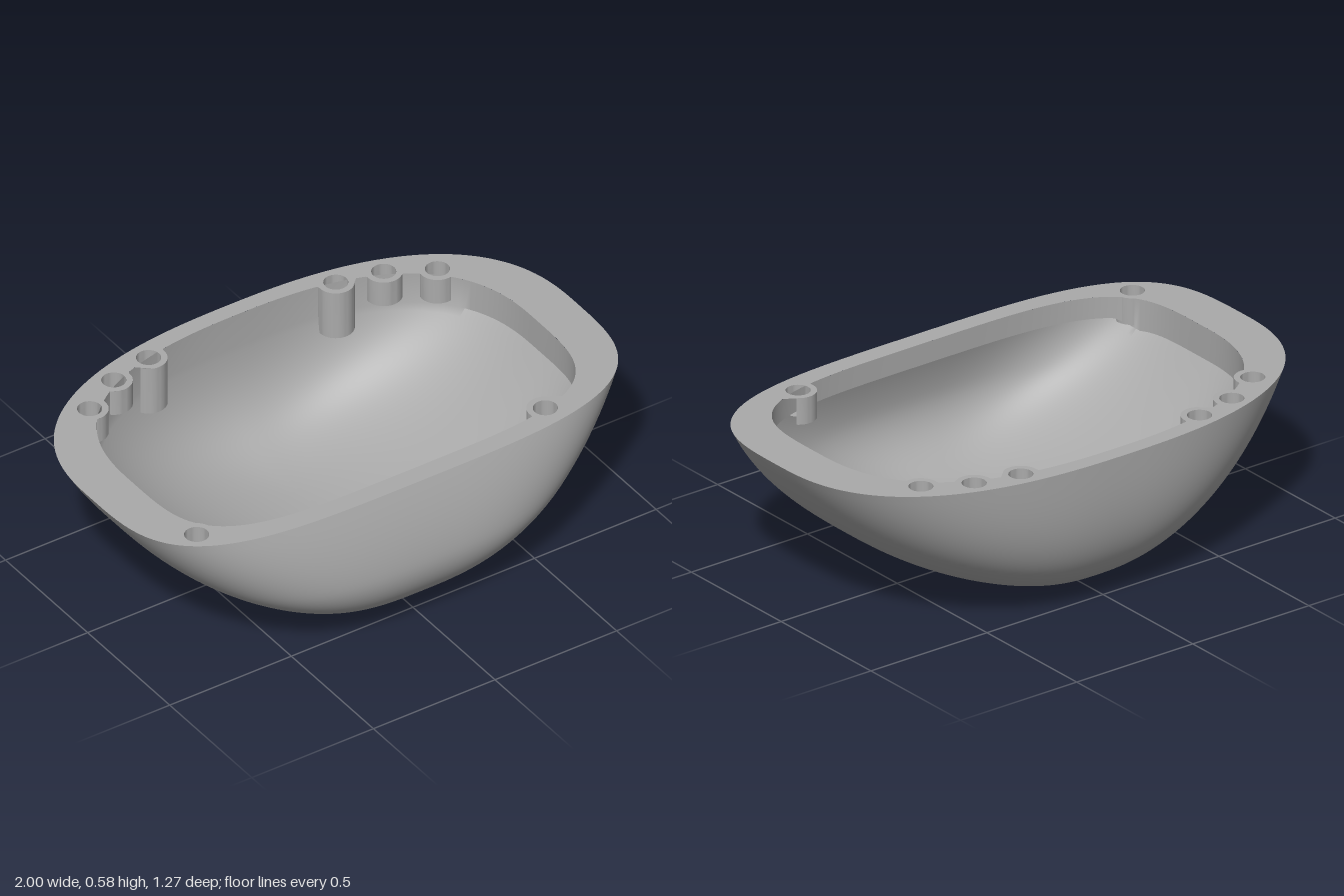
import * as THREE from 'three';
import { toCreasedNormals } from 'three/addons/utils/BufferGeometryUtils.js';

const H = 0.58;          // rim height
const SEG = 160;         // points around the shell
const BOSS_R = 0.065, HOLE_R = 0.043;
const spow = (v, e) => Math.sign(v) * Math.pow(Math.abs(v), e);

// Side profile of the shell: depth to the back and to the front at height y
const backDepth = (y) => 0.637 * Math.pow(Math.max(0, 1 - Math.pow(1 - y / H, 3)), 0.25);
function frontDepth(y) {
  const m = 0.28;
  if (y > m) return 0.638 - 0.075 * Math.pow((y - m) / (H - m), 1.6);
  return 0.638 * Math.pow(Math.max(0, 1 - Math.pow(1 - y / m, 2)), 1 / 3.6);
}
const arcWidth = (y, r) => Math.sqrt(Math.max(0, r * r - (1.15 - y) ** 2));
const frontPower = (y) => 3 + 0.6 * (y / H) ** 2;

// Horizontal slices: half width, depths and superellipse powers
const outerSlice = (y) => ({ X: arcWidth(y, 1.15), B: backDepth(y), F: frontDepth(y), nb: 2.5, nf: frontPower(y) });
const FLOOR = 0.07;
function innerSlice(y) {
  const Y = Math.max(0, (y - FLOOR) * H / (H - FLOOR));
  return { X: arcWidth(y, 1.15 - FLOOR), B: 0.907 * backDepth(Y), F: 0.9 * frontDepth(Y), nb: 2.5, nf: frontPower(y) };
}
const opening = { X: 0.83, B: 0.575, F: 0.49, nb: 2.5, nf: 4 };

function slicePoint(s, a, y) {
  const front = Math.sin(a) > 0, n = front ? s.nf : s.nb;
  return new THREE.Vector3(
    s.X * spow(Math.cos(a), 2 / n), y, (front ? s.F : s.B) * spow(Math.sin(a), 2 / n));
}
// Normalised position of a point in a slice: below 1 is inside
function sliceValue(s, p) {
  const front = p.z > 0, n = front ? s.nf : s.nb;
  return Math.pow(Math.abs(p.x) / (s.X + 1e-9), n) + Math.pow(Math.abs(p.z) / ((front ? s.F : s.B) + 1e-9), n);
}
function sliceAngle(s, p) {
  const front = p.z > 0, n = front ? s.nf : s.nb;
  return Math.atan2(spow(p.z / (front ? s.F : s.B), n / 2), spow(p.x / s.X, n / 2));
}

// Skin closed rows of points; rows going up face outward, going down face inward
function skin(rows) {
  const pos = [], idx = [], n = rows[0].length;
  rows.forEach((row) => row.forEach((p) => pos.push(p.x, p.y, p.z)));
  for (let i = 0; i < rows.length - 1; i++) {
    for (let j = 0; j < n; j++) {
      const a = i * n + j, b = i * n + (j + 1) % n;
      idx.push(a, a + n, b, b, a + n, b + n);
    }
  }
  const g = new THREE.BufferGeometry();
  g.setAttribute('position', new THREE.Float32BufferAttribute(pos, 3));
  g.setIndex(idx);
  return toCreasedNormals(g, 0.6);
}
const angles = Array.from({ length: SEG }, (_, i) => (i / SEG) * Math.PI * 2);

// Screw bosses: x, z, height
const bosses = [[-0.815, 0.39, 0.1], [0.575, 0.455, 0.1]];
for (const s of [-1, 1]) {
  bosses.push([s * 0.715, -0.41, 0.1], [s * 0.555, -0.5, 0.1], [s * 0.385, -0.54, 0.19]);
}

function outerShell() {
  const rows = [];
  for (let i = 0; i <= 44; i++) {
    const y = H * Math.pow(i / 44, 2.4);
    rows.push(angles.map((a) => slicePoint(outerSlice(y), a, y)));
  }
  return skin(rows);
}

// Opening wall, undercut lip at the front, and the bowl below
function innerShell() {
  const columns = angles.map((a) => {
    const top = slicePoint(opening, a, H);
    let lo = FLOOR, hi = H;
    for (let k = 0; k < 30; k++) {
      const mid = (lo + hi) / 2;
      if (sliceValue(innerSlice(mid), top) < 1) hi = mid; else lo = mid;
    }
    const lip = 0.38 + 0.12 * Math.min(1, Math.max(0, Math.sin(a) * 1.6));
    const yb = Math.max(hi, lip);
    const col = [top, new THREE.Vector3(top.x, yb, top.z)];
    const b = sliceAngle(innerSlice(yb), top);
    for (let i = 32; i >= 0; i--) {
      const y = FLOOR + (yb - FLOOR) * Math.pow(i / 32, 2.2);
      col.push(slicePoint(innerSlice(y), b, y));
    }
    return col;
  });
  return skin(columns[0].map((_, i) => columns.map((c) => c[i])));
}

// Flat rim with the opening, bumps for the bosses, and screw holes
function rimPlate() {
  const shape = new THREE.Shape(angles.map((a) => {
    const p = slicePoint(outerSlice(H), a, H);
    return new THREE.Vector2(p.x, -p.z);
  }));
  const inner = [];
  for (let i = 0; i < 640; i++) {
    const p = slicePoint(opening, (i / 640) * Math.PI * 2, H);
    const len = Math.hypot(p.x, p.z), dx = p.x / len, dz = p.z / len;
    let r = len;
    for (const [cx, cz] of bosses) {
      const along = cx * dx + cz * dz;
      const disc = BOSS_R ** 2 - (cx * cx + cz * cz - along * along);
      if (along > 0 && disc > 0) r = Math.min(r, along - Math.sqrt(disc));
    }
    inner.push(new THREE.Vector2(dx * r, -dz * r));
  }
  shape.holes.push(new THREE.Path(inner));
  for (const [x, z] of bosses) {
    shape.holes.push(new THREE.Path().absarc(x, -z, HOLE_R, 0, Math.PI * 2, true));
  }
  return new THREE.ShapeGeometry(shape, 16).rotateX(-Math.PI / 2).translate(0, H, 0);
}

export function createModel() {
  const model = new THREE.Group();
  const grey = new THREE.MeshStandardMaterial({ color: 0xaaaaaa });
  grey.name = 'grey plastic';
  const add = (name, geometry, parent = model) => {
    const mesh = new THREE.Mesh(geometry, grey);
    mesh.name = name;
    parent.add(mesh);
    return mesh;
  };

  add('outerShell', outerShell());
  add('innerShell', innerShell());
  add('rim', rimPlate());

  // Half-round posts facing the middle, each with a blind screw hole
  const v = (x, y) => new THREE.Vector2(x, y);
  for (const [x, z, h] of bosses) {
    const boss = new THREE.Group();
    boss.name = 'screwBoss';
    boss.position.set(x, H, z);
    const facing = Math.atan2(-x, -z);
    const post = new THREE.LatheGeometry([v(0, -h), v(BOSS_R, -h), v(BOSS_R, 0)], 24, facing - 1.65, 3.3);
    const hole = new THREE.LatheGeometry([v(HOLE_R, 0), v(HOLE_R, -0.08), v(0, -0.08)], 32);
    add('post', toCreasedNormals(post, 0.6), boss);
    add('screwHole', toCreasedNormals(hole, 0.6), boss);
    model.add(boss);
  }
  return model;
}
